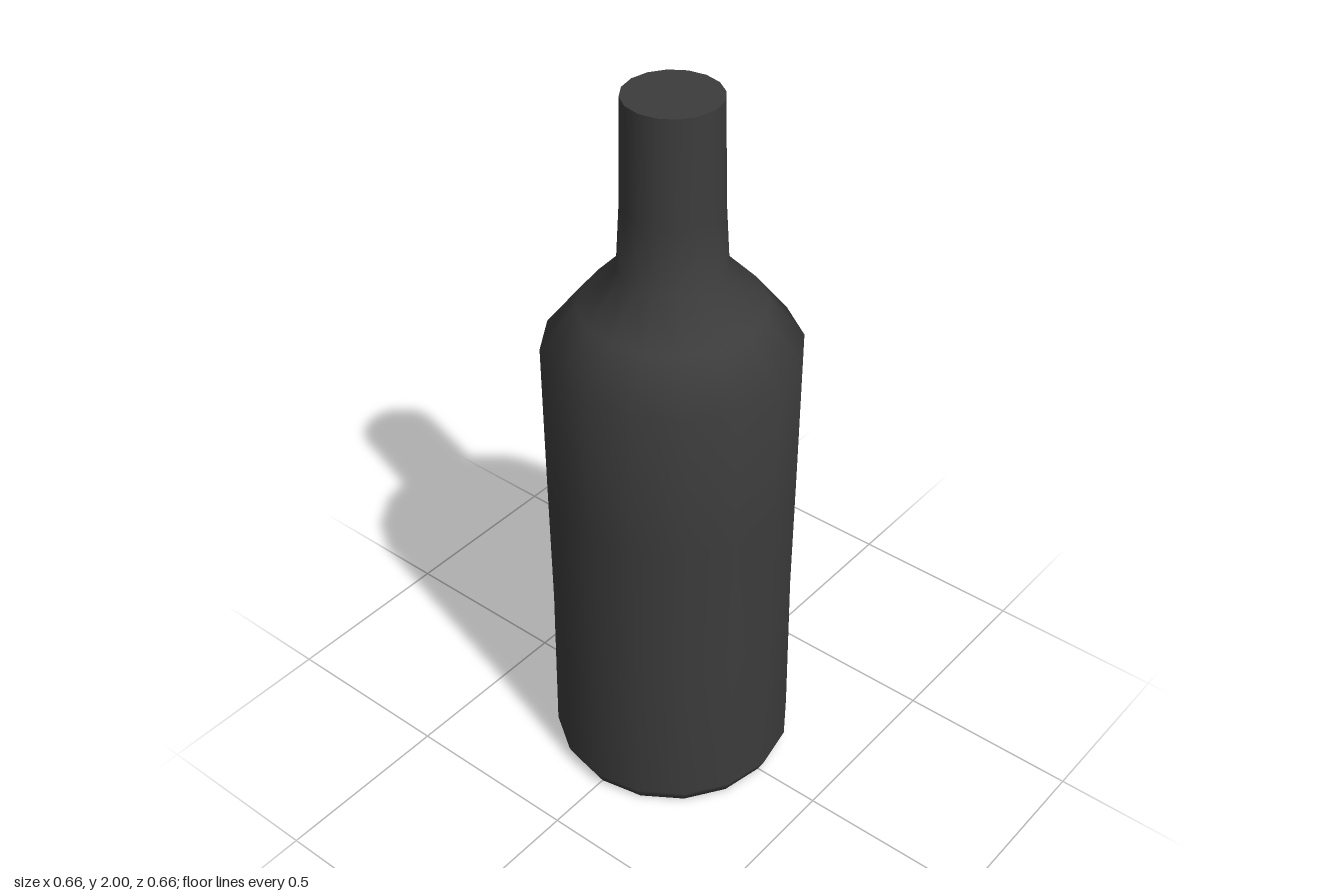
import * as THREE from 'three';

const SIDES = 16;

export function createModel() {
  const group = new THREE.Group();
  group.name = 'bottle';
  const glass = new THREE.MeshStandardMaterial({ color: 0x3c3c3c });

  // Base, body, shoulder and neck as one smooth turned profile [radius, height]
  const profile = [
    [0, 0], [0.31, 0], [0.33, 0.04], [0.325, 0.5], [0.328, 0.9], [0.33, 1.32],
    [0.237, 1.44], [0.138, 1.545], [0.128, 1.72], [0.123, 2],
  ].map(([r, y]) => new THREE.Vector2(r, y));
  const body = new THREE.Mesh(new THREE.LatheGeometry(profile, SIDES), glass);
  body.name = 'bottleBody';
  group.add(body);

  // Flat closed top of the neck
  const top = new THREE.Mesh(new THREE.CircleGeometry(0.123, SIDES), glass);
  top.name = 'neckTop';
  top.rotation.x = -Math.PI / 2;
  top.position.y = 2;
  group.add(top);

  return group;
}
